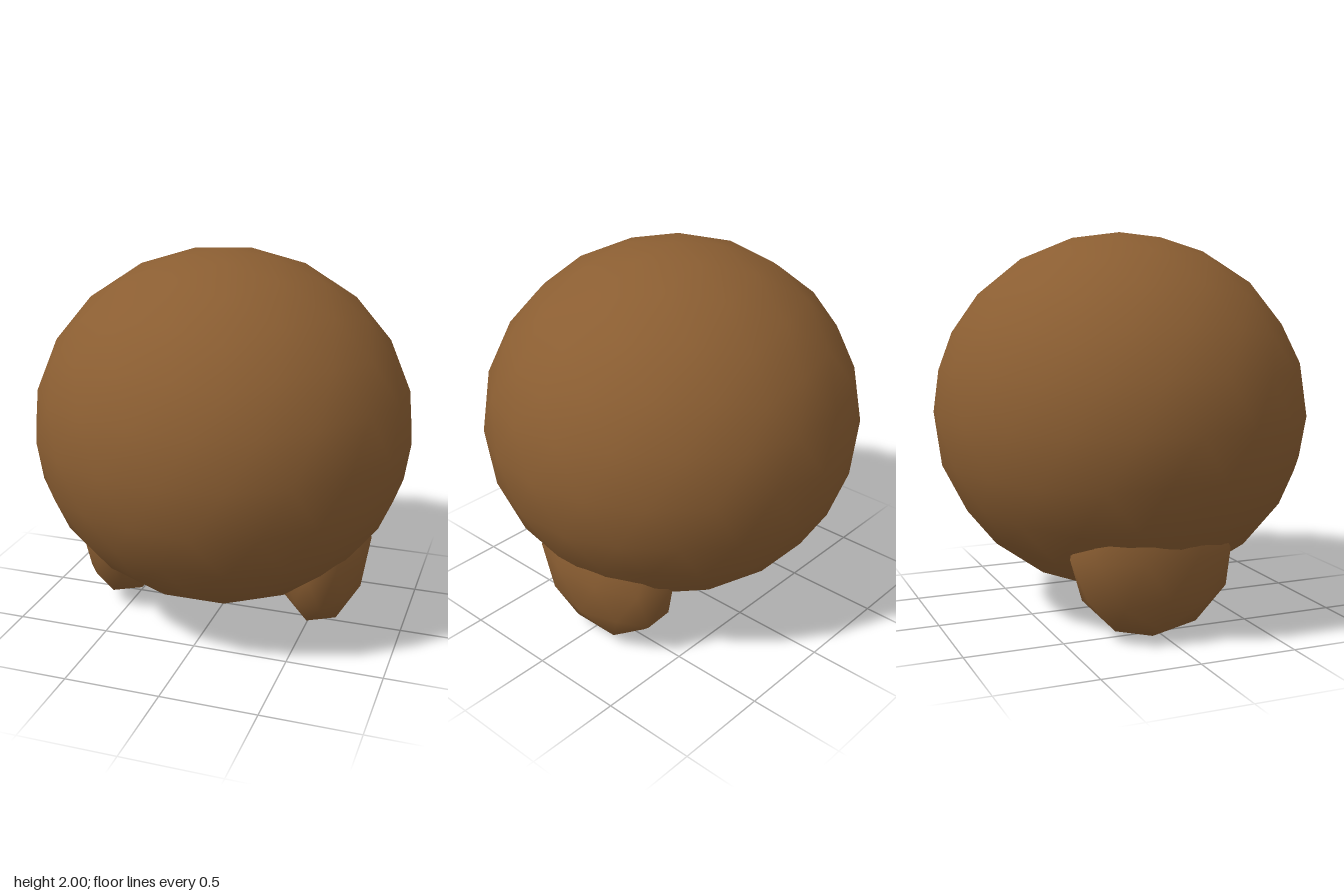
import * as THREE from 'three';

// Smooth icosphere stretched to radii, with one corner pointing straight up
function ball(name, detail, radii, position, material) {
  const geometry = new THREE.IcosahedronGeometry(1, detail);
  geometry.rotateZ(-Math.atan(2 / (1 + Math.sqrt(5))));
  geometry.scale(...radii);
  const mesh = new THREE.Mesh(geometry, material);
  mesh.name = name;
  mesh.position.set(...position);
  return mesh;
}

export function createModel() {
  const group = new THREE.Group();
  group.name = 'roundCreature';
  const brown = new THREE.MeshStandardMaterial({ color: 0x8b5e32 });
  brown.name = 'brown';

  // Round body
  group.add(ball('body', 3, [1, 0.935, 0.98], [0, 1.065, 0], brown));

  // Two stubby feet sunk into the underside
  for (const [name, side] of [['leftFoot', 1], ['rightFoot', -1]]) {
    group.add(ball(name, 1, [0.24, 0.435, 0.435], [side * 0.56, 0.435, -0.05], brown));
  }
  return group;
}
